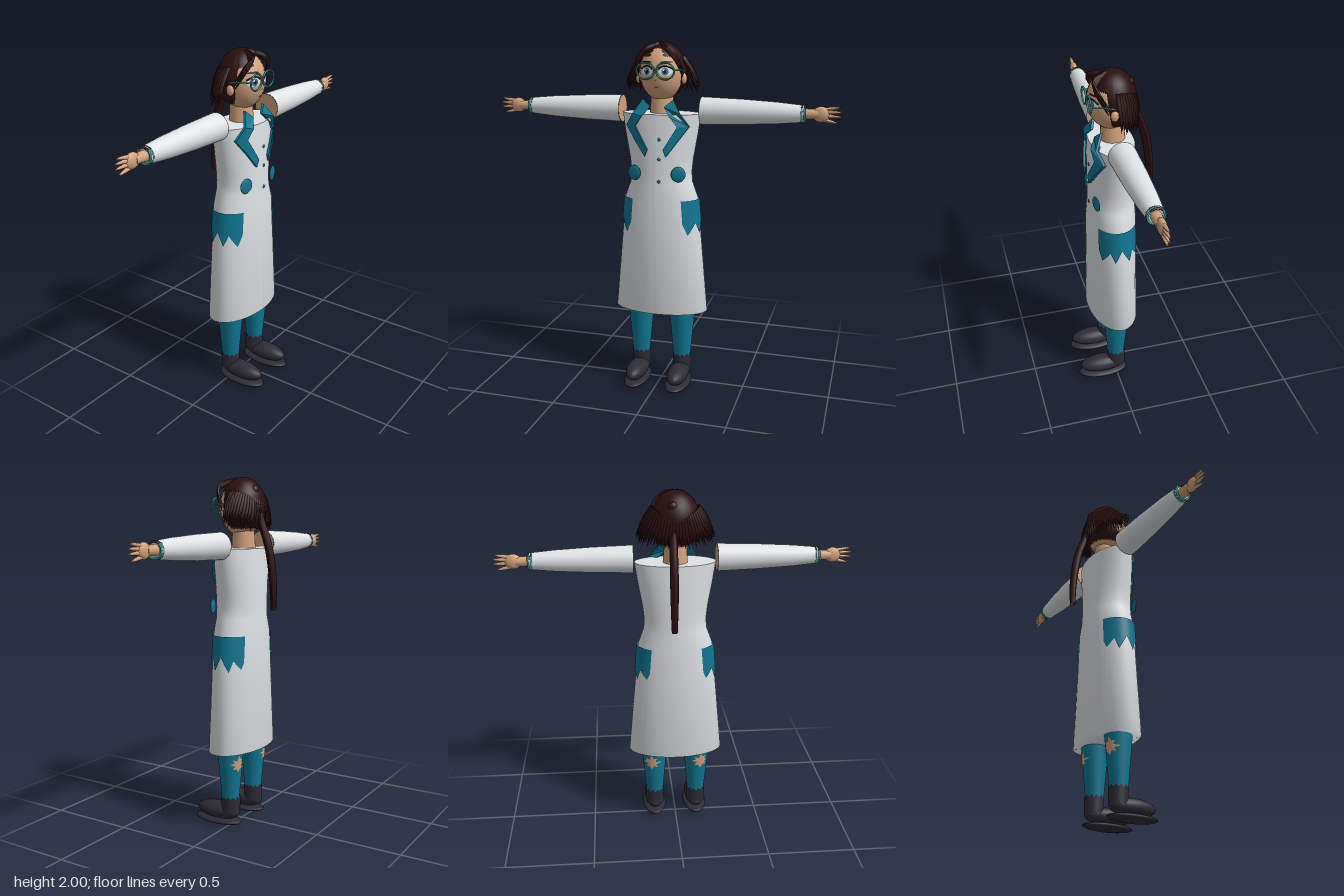
import * as THREE from 'three';
import { mergeVertices } from 'three/addons/utils/BufferGeometryUtils.js';

const V = (x, y, z) => new THREE.Vector3(x, y, z);
const make = (name, color, double) => {
  const m = new THREE.MeshStandardMaterial({ color, side: double ? THREE.DoubleSide : THREE.FrontSide });
  m.name = name;
  return m;
};

// Coat outline: height, half width, half depth
const COAT = [[0.46, 0.275, 0.145], [1.13, 0.213, 0.136], [1.22, 0.18, 0.131], [1.28, 0.175, 0.13],
  [1.36, 0.184, 0.129], [1.5, 0.209, 0.126], [1.61, 0.225, 0.12]];
function coatAt(y) {
  let i = 0;
  while (i < COAT.length - 2 && y > COAT[i + 1][0]) i++;
  const [p, q] = [COAT[i], COAT[i + 1]];
  const t = Math.min(1, (y - p[0]) / (q[0] - p[0]));
  return [p[1] + (q[1] - p[1]) * t, p[2] + (q[2] - p[2]) * t];
}
const coatZ = (x, y) => {
  const [a, b] = coatAt(y);
  return b * Math.sqrt(Math.max(0, 1 - (x / a) ** 2));
};
const HEAD = { y: 1.835, rx: 0.12, ry: 0.16, rz: 0.125 };
const faceZ = (x, y) => HEAD.rz * Math.sqrt(Math.max(0, 1 - (x / HEAD.rx) ** 2 - ((y - HEAD.y) / HEAD.ry) ** 2));
const legRadius = y => 0.05 + 0.027 * Math.min(1, Math.max(0, (y - 0.16) / 0.3));

// Move every vertex by a rule
function warp(geo, rule) {
  const p = geo.attributes.position, v = V(0, 0, 0);
  for (let i = 0; i < p.count; i++) {
    v.fromBufferAttribute(p, i);
    rule(v, i);
    p.setXYZ(i, v.x, v.y, v.z);
  }
  geo.computeVertexNormals();
  return geo;
}

// Tapering tube along a smooth curve
function strand(points, r, taper = t => 1 - t, steps = 8, sides = 6) {
  const curve = new THREE.CatmullRomCurve3(points);
  return warp(new THREE.TubeGeometry(curve, steps, r, sides), (v, i) => {
    const t = Math.floor(i / (sides + 1)) / steps, c = curve.getPointAt(t);
    v.sub(c).multiplyScalar(Math.max(0.02, taper(t))).add(c);
  });
}

export function createModel() {
  const model = new THREE.Group();
  const skin = make('skin', 0xd3a27c, true), hair = make('darkHair', 0x2b0e10, true);
  const white = make('coatWhite', 0xdfe3e6), teal = make('teal', 0x0f7692, true);
  const slate = make('slate', 0x2d2c36, true), aqua = make('aqua', 0x2b9a90);
  const eyeWhite = make('eyeWhite', 0xf4f6f8, true), blue = make('irisBlue', 0x3f74a8, true);
  const black = make('black', 0x15131a, true), lip = make('lip', 0x93594c, true);

  const add = (name, geo, mat, parent = model) => {
    const m = new THREE.Mesh(geo, mat);
    m.name = name;
    parent.add(m);
    return m;
  };
  const ball = (name, mat, pos, size, parent) => {
    const m = add(name, new THREE.SphereGeometry(1, 28, 18), mat, parent);
    m.position.set(...pos);
    m.scale.set(...size);
    return m;
  };

  // Coat body with closed hem, and flat shoulder top
  let coat = new THREE.LatheGeometry([new THREE.Vector2(0, 0.46), ...COAT.map(r => new THREE.Vector2(r[1], r[0]))], 48);
  coat.deleteAttribute('uv');
  coat.deleteAttribute('normal');
  warp(coat, v => { const [a, b] = coatAt(v.y); v.z *= b / a; });
  coat = mergeVertices(coat);
  coat.computeVertexNormals();
  add('coat', coat, white);
  const top = add('coatTop', new THREE.CircleGeometry(1, 48), white);
  top.rotation.x = -Math.PI / 2;
  top.scale.set(0.225, 0.12, 1);
  top.position.y = 1.61;
  [1.475, 1.365, 1.24].forEach(y => ball('button', teal, [0.02, y, coatZ(0.02, y)], [0.009, 0.009, 0.006]));

  // Neck and head
  const neck = add('neck', new THREE.CylinderGeometry(0.06, 0.07, 0.16, 24), skin);
  neck.position.set(0, 1.66, -0.01);
  ball('head', skin, [0, HEAD.y, 0], [HEAD.rx, HEAD.ry, HEAD.rz]);

  // Thin oval laid on the face
  const decal = (name, mat, cx, cy, rx, ry, lift) => add(name,
    warp(new THREE.RingGeometry(0.001, 1, 24, 4), v => {
      const x = cx + v.x * rx, y = cy + v.y * ry;
      v.set(x, y, faceZ(x, y) + lift);
    }), mat);
  decal('mouth', lip, 0, 1.758, 0.014, 0.004, 0.002);
  decal('nose', lip, 0, 1.797, 0.006, 0.004, 0.002);

  // Hair cap, cut high over the face and low behind the ears
  const cap = new THREE.SphereGeometry(1, 64, 24);
  add('hairCap', warp(cap, (v, i) => {
    const phi = (i % 65) / 64 * Math.PI * 2, t = Math.floor(i / 65) / 24;
    const front = Math.abs(Math.atan2(Math.cos(phi), Math.sin(phi)) - 0);
    const f = Math.abs(Math.PI - Math.abs(Math.PI - front));
    const theta = t * (1.06 + 1.34 * THREE.MathUtils.smoothstep(f, 1.05, 1.35));
    v.set(0.135 * Math.sin(theta) * Math.cos(phi), 1.835 + 0.165 * Math.cos(theta), -0.008 + 0.13 * Math.sin(theta) * Math.sin(phi));
  }), hair);

  // Flared strands round the sides and back
  for (let i = 0; i <= 30; i++) {
    const a = -0.12 + i / 30 * (Math.PI + 0.24), c = Math.cos(a), s = Math.sin(a), side = c * c;
    for (const [reach, drop] of [[1, 0], [0.8, -0.025]]) {
      const tipY = 1.735 + 0.02 * side + drop + 0.012 * Math.sin(i * 2.4);
      add('hairStrand', strand([V(0.12 * c, 1.87 + 0.045 * side, -0.02 - 0.1 * s),
        V((0.14 + 0.03 * side * reach) * c, 1.82 + 0.03 * side, -0.02 - 0.115 * s),
        V((0.15 + 0.065 * reach) * c, tipY, -0.02 - 0.118 * s)], 0.014, t => 1 - t * t, 6, 5), hair);
    }
  }
  // Ponytail with its knot
  ball('ponytailKnot', hair, [0.02, 1.925, -0.095], [0.03, 0.03, 0.024]);
  add('ponytail', strand([V(0.02, 1.92, -0.1), V(0.02, 1.78, -0.13), V(0.02, 1.61, -0.187),
    V(0.02, 1.42, -0.215), V(0.02, 1.27, -0.218)], 0.021, t => 0.75 + 0.5 * Math.sin(t * 2.6) - 0.25 * t, 20, 10), hair);

  // Glasses bridge
  const bridge = add('glassesBridge', new THREE.CylinderGeometry(0.004, 0.004, 0.02, 8), aqua);
  bridge.rotation.z = Math.PI / 2;
  bridge.position.set(0, 1.85, 0.13);

  const tears = [[-1.01, 0.99], [-0.93, 0.945], [-0.65, 0.995], [-0.48, 0.93], [-0.05, 1.015],
    [0.3, 0.935], [0.53, 1.0], [0.88, 0.93], [1.01, 1.0]];

  for (const s of [-1, 1]) {
    const label = s > 0 ? 'left' : 'right';

    // Eyes, brows and spectacles
    decal(label + 'Eye', eyeWhite, s * 0.053, 1.843, 0.034, 0.025, 0.002);
    decal(label + 'Iris', blue, s * 0.051, 1.842, 0.018, 0.021, 0.003);
    decal(label + 'Pupil', black, s * 0.051, 1.842, 0.009, 0.011, 0.004);
    decal(label + 'EyeGlint', eyeWhite, s * 0.051 - 0.006, 1.851, 0.005, 0.005, 0.005);
    add(label + 'Lash', strand([0.018, 0.036, 0.058, 0.088].map((x, i) => {
      const y = [1.855, 1.869, 1.87, 1.855][i];
      return V(s * x, y, faceZ(x, y) + 0.003);
    }), 0.004, () => 1), black);
    decal(label + 'Brow', black, s * 0.055, 1.892, 0.032, 0.005, 0.003);
    const rim = add(label + 'GlassesRim', new THREE.TorusGeometry(0.05, 0.005, 8, 36), aqua);
    rim.scale.y = 0.88;
    rim.position.set(s * 0.056, 1.845, 0.128);
    add(label + 'GlassesArm', strand([V(s * 0.106, 1.85, 0.126), V(s * 0.125, 1.85, 0.07), V(s * 0.134, 1.84, 0.01)], 0.004, () => 1), aqua);
    ball(label + 'Ear', skin, [s * 0.13, 1.8, 0.012], [0.016, 0.03, 0.022]);

    // Fringe sweeping from the parting to the temple
    for (const k of [0, 1, 2]) {
      add(label + 'Fringe', strand([V(s * 0.01, 1.985, 0.02 + 0.01 * k), V(s * (0.05 + 0.012 * k), 1.965 - 0.012 * k, 0.1),
        V(s * 0.105, 1.925 - 0.012 * k, 0.09), V(s * 0.133, 1.85 - 0.02 * k, 0.045)], 0.014, t => 1 - t * t * 0.9, 12), hair);
    }

    // Folded lapel
    const lapel = new THREE.Shape([[0.087, 1.69], [0.04, 1.65], [0.08, 1.6], [0.12, 1.545], [0.083, 1.483], [0.045, 1.42],
      [0.06, 1.38], [0.12, 1.462], [0.18, 1.545], [0.135, 1.615]].map(p => new THREE.Vector2(s * p[0], p[1])));
    add(label + 'Lapel', warp(new THREE.ExtrudeGeometry(lapel, { depth: 0.014, bevelEnabled: false }), v => {
      v.z += v.y > 1.61 ? 0.105 - (v.y - 1.61) * 0.5 : coatZ(v.x, v.y) + 0.004;
    }), teal);

    // Round badge at the waist
    const badge = ball(label + 'WaistDisc', teal, [s * 0.127, 1.283, 0.114], [0.041, 0.043, 0.009]);
    badge.rotation.y = s * 0.25;

    // Torn pocket wrapped round the hip
    add(label + 'Pocket', warp(new THREE.PlaneGeometry(2, 1, 80, 2), v => {
      const i = Math.max(0, tears.findIndex(p => p[0] >= v.x) - 1), [p, q] = [tears[i], tears[i + 1]];
      const low = p[1] + (q[1] - p[1]) * (v.x - p[0]) / (q[0] - p[0]);
      const y = low + (1.13 - low) * (v.y + 0.5), z = v.x * 0.108, [a, b] = coatAt(y);
      v.set(s * (a + 0.008) * Math.sqrt(1 - (z / (b + 0.004)) ** 2), y, z);
    }), teal);

    // Arm, built along +x and turned for the other side
    const arm = new THREE.Group();
    arm.name = label + 'Arm';
    arm.position.y = 1.627;
    if (s < 0) arm.rotation.y = Math.PI;
    model.add(arm);
    const profile = [[0.045, 0.79], [0.058, 0.65], [0.069, 0.45], [0.076, 0.23]];
    const sleeve = new THREE.LatheGeometry(profile.map(p => new THREE.Vector2(p[0], -p[1])), 32);
    add('sleeve', sleeve, white, arm).rotation.z = Math.PI / 2;
    const shoulder = add('shoulderEnd', new THREE.CircleGeometry(0.076, 32), skin, arm);
    shoulder.position.x = 0.229;
    shoulder.rotation.y = -Math.PI / 2;
    const cuffEnd = add('cuffEnd', new THREE.CircleGeometry(0.045, 32), white, arm);
    cuffEnd.position.x = 0.79;
    cuffEnd.rotation.y = Math.PI / 2;
    // Two-tone bracelets
    for (const x of [0.778, 0.793]) {
      for (const [mat, from, arc] of [[aqua, 0, 4.7], [slate, 4.7, 1.583]]) {
        const ring = add('bracelet', new THREE.TorusGeometry(0.042, 0.006, 8, 28, arc), mat, arm);
        ring.position.x = x;
        ring.rotation.set(0, Math.PI / 2, from + (s > 0 ? 2.36 : -3.9), 'YXZ');
      }
    }
    // Hand with spread fingers
    const wrist = add('wrist', new THREE.CylinderGeometry(0.025, 0.029, 0.08, 16), skin, arm);
    wrist.rotation.z = -Math.PI / 2;
    wrist.position.x = 0.825;
    ball('palm', skin, [0.877, 0, 0], [0.046, 0.042, 0.022], arm);
    [[0.97, 0.036], [0.982, 0.013], [0.98, -0.012], [0.96, -0.044]].forEach(([x, y]) =>
      add('finger', strand([V(0.885, y * 0.6, 0), V(0.93, y * 0.85, 0), V(x, y, 0)], 0.012, t => 1 - 0.6 * t * t, 6, 8), skin, arm));

    // Trouser leg with torn patch showing skin behind
    const cx = s * 0.126;
    const leg = add(label + 'Leg', new THREE.CylinderGeometry(0.077, 0.05, 0.3, 28), teal);
    leg.position.set(cx, 0.31, 0);
    const edge = [1, 0.5, 0.85, 0.45, 1.05, 0.6, 0.8, 0.4, 1.1, 0.5, 0.9, 0.55, 1, 0.6, 0.85, 0.45];
    add(label + 'LegTear', warp(new THREE.RingGeometry(0.001, 1, 16, 5), (v, i) => {
      const k = edge[(i % 17) % 16], y = 0.385 + v.y * k * 0.05, r = legRadius(y) + 0.003;
      const a = s * 0.3 + v.x * k * 0.85;
      v.set(cx + r * Math.sin(a), y, -r * Math.cos(a));
    }), skin);

    // Boot: ragged ankle, upper and sole
    add(label + 'BootAnkle', warp(new THREE.CylinderGeometry(0.055, 0.054, 0.1, 24, 1, true), (v, i) => {
      if (v.y > 0) v.y += (i % 2) * 0.018 - 0.012;
      v.x += cx;
      v.y += 0.13;
      v.z -= 0.002;
    }), slate);
    ball(label + 'BootUpper', slate, [cx, 0.08, 0.083], [0.06, 0.051, 0.142]);
    ball(label + 'BootSole', slate, [cx, 0.024, 0.083], [0.071, 0.022, 0.154]);
  }
  return model;
}
